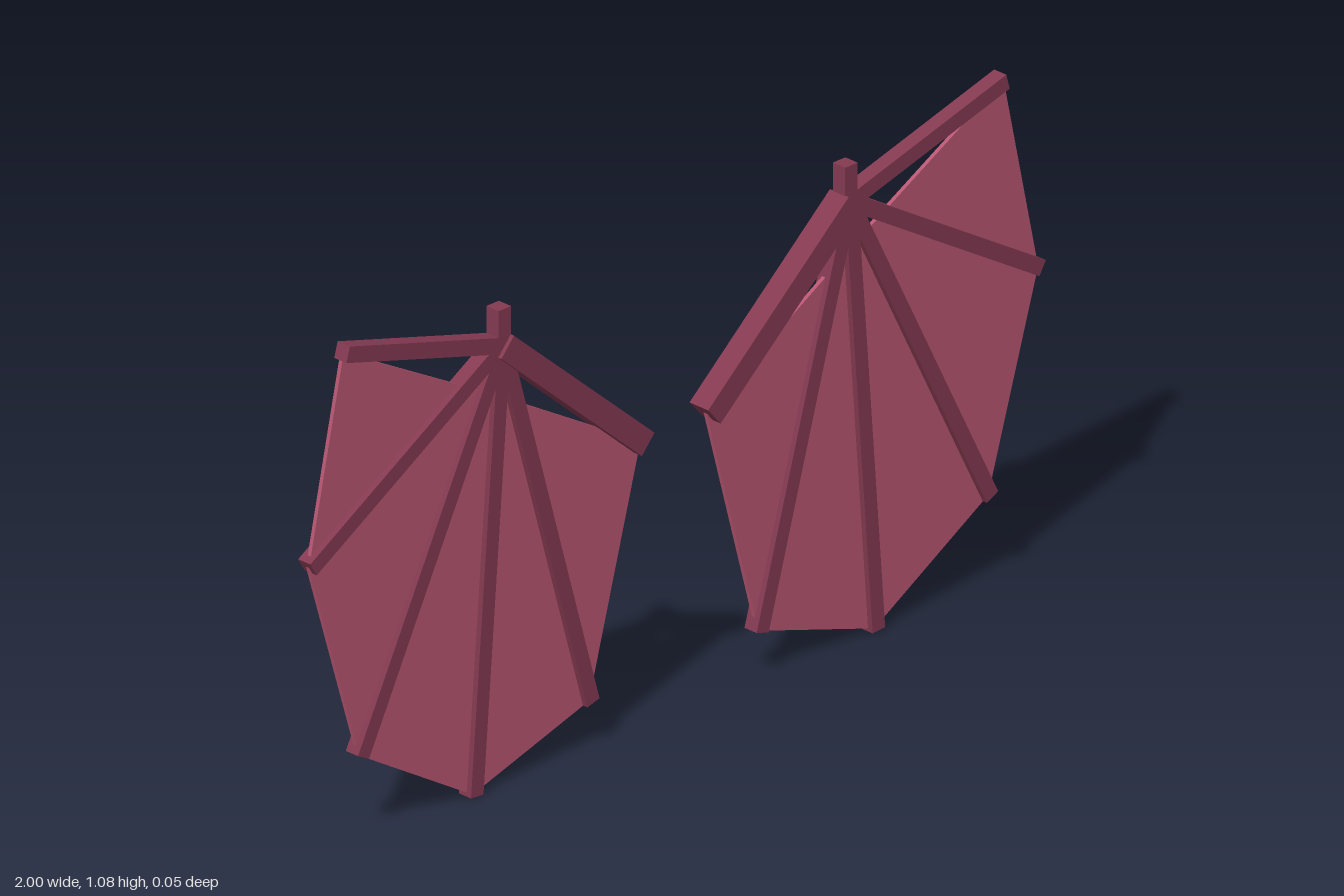
import * as THREE from 'three';

const boneMat = new THREE.MeshStandardMaterial({ color: 0x853a52 });
boneMat.name = 'dark bone';
const skinMat = new THREE.MeshStandardMaterial({ color: 0xb85672 });
skinMat.name = 'rose membrane';

const hub = [0.472, 0.945];
const fingerTips = [[0.897, 1.065], [0.991, 0.634], [0.855, 0.187], [0.546, 0.002], [0.23, 0.1]];
const armTip = [0.09, 0.612];

// Square bar between two points in the wing plane
function bar(name, a, b, width) {
  const dx = b[0] - a[0], dy = b[1] - a[1];
  const mesh = new THREE.Mesh(new THREE.BoxGeometry(width, Math.hypot(dx, dy), width), boneMat);
  mesh.position.set((a[0] + b[0]) / 2, (a[1] + b[1]) / 2, 0);
  mesh.rotation.z = Math.atan2(-dx, dy);
  mesh.name = name;
  return mesh;
}

// One wing; side is 1 for the model's left and -1 for its right
function makeWing(side) {
  const wing = new THREE.Group();
  wing.name = side > 0 ? 'leftWing' : 'rightWing';
  const at = ([x, y]) => [x * side, y];

  // Arm, thumb claw and fingers meet at the wrist
  wing.add(bar('arm', at(hub), at(armTip), 0.052));
  wing.add(bar('thumb', at([0.471, 0.93]), at([0.471, 1.025]), 0.034));
  fingerTips.forEach((tip, i) => wing.add(bar('finger' + (i + 1), at(hub), at(tip), 0.034)));

  // Thin membrane stretched between the tips
  const outline = [[0.475, 0.835], ...fingerTips, armTip].map(p => new THREE.Vector2(...at(p)));
  const depth = 0.009;
  const skin = new THREE.ExtrudeGeometry(new THREE.Shape(outline), { depth, bevelEnabled: false });
  skin.translate(0, 0, -depth / 2);
  const membrane = new THREE.Mesh(skin, skinMat);
  membrane.name = 'membrane';
  wing.add(membrane);
  return wing;
}

export function createModel() {
  const model = new THREE.Group();
  model.name = 'wingPair';
  model.add(makeWing(1), makeWing(-1));
  return model;
}
